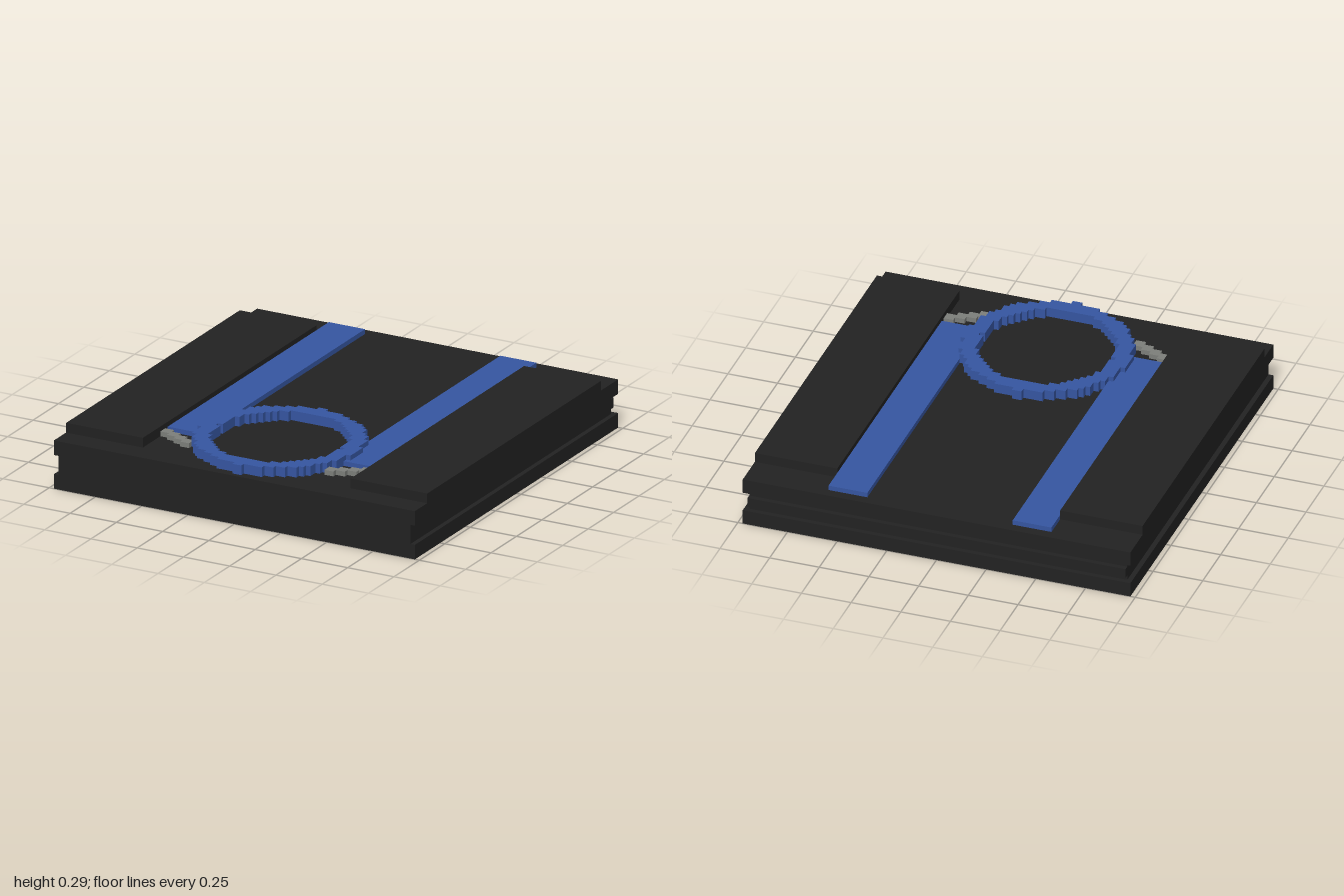
import * as THREE from 'three';

const U = 2 / 82; // one block unit

export function createModel() {
  const model = new THREE.Group();
  const mat = (name, color) => {
    const m = new THREE.MeshStandardMaterial({ color });
    m.name = name;
    return m;
  };
  const black = mat('black', 0x222222);
  const blue = mat('blue', 0x3656a2);
  const grey = mat('grey', 0x7d7f7b);

  // box between two corners given in block units
  const block = (parent, name, material, x0, x1, y0, y1, z0, z1) => {
    const mesh = new THREE.Mesh(
      new THREE.BoxGeometry((x1 - x0) * U, (y1 - y0) * U, (z1 - z0) * U), material);
    mesh.position.set((x0 + x1) / 2 * U, (y0 + y1) / 2 * U, (z0 + z1) / 2 * U);
    mesh.name = name;
    parent.add(mesh);
  };
  const group = (name) => {
    const g = new THREE.Group();
    g.name = name;
    model.add(g);
    return g;
  };

  // base slab: grooved along both sides, two thin grooves across the back
  const base = group('base');
  block(base, 'bottomPlate', black, -40, 40, 0, 3, -41, 41);
  block(base, 'lowerGroove', black, -39, 39, 3, 4, -40, 41);
  block(base, 'tongue', black, -39, 39, 4, 6, -41, 41);
  block(base, 'upperGroove', black, -39, 39, 6, 7, -40, 41);
  block(base, 'topPlate', black, -40, 40, 7, 10, -41, 41);

  // mirrored raised panels, strips and stepped diagonals
  for (const s of [-1, 1]) {
    const side = group(s > 0 ? 'leftSide' : 'rightSide');
    const pair = (name, material, a, b, y0, y1, z0, z1) =>
      block(side, name, material, Math.min(s * a, s * b), Math.max(s * a, s * b), y0, y1, z0, z1);
    pair('raisedPanel', black, 23, 40, 10, 12, -34, 36);
    pair('strip', blue, 15, 23, 10, 11, -39, 26);
    for (let i = 0; i < 4; i++) {
      pair('diagonalStep', grey, 21 - 2 * i, 23 - 2 * i, 10, 11, 27 + i, 29 + i);
    }
  }

  // blocky ring, one row of blocks at a time
  const ring = group('ring');
  const halfWidth = (r2, d) => (r2 > d * d ? Math.floor(Math.sqrt(r2 - d * d) + 0.5) : 0);
  for (let d = -17; d <= 17; d++) {
    const z = 22 + d;
    const outer = Math.abs(d) === 17 ? 1 : halfWidth(280, d);
    const inner = d === 0 ? 14 : Math.min(13, halfWidth(190, d));
    if (inner === 0) {
      block(ring, 'ringRow', blue, -outer, outer, 10, 12, z, z + 1);
    } else {
      block(ring, 'ringRow', blue, -outer, -inner, 10, 12, z, z + 1);
      block(ring, 'ringRow', blue, inner, outer, 10, 12, z, z + 1);
    }
  }
  return model;
}
